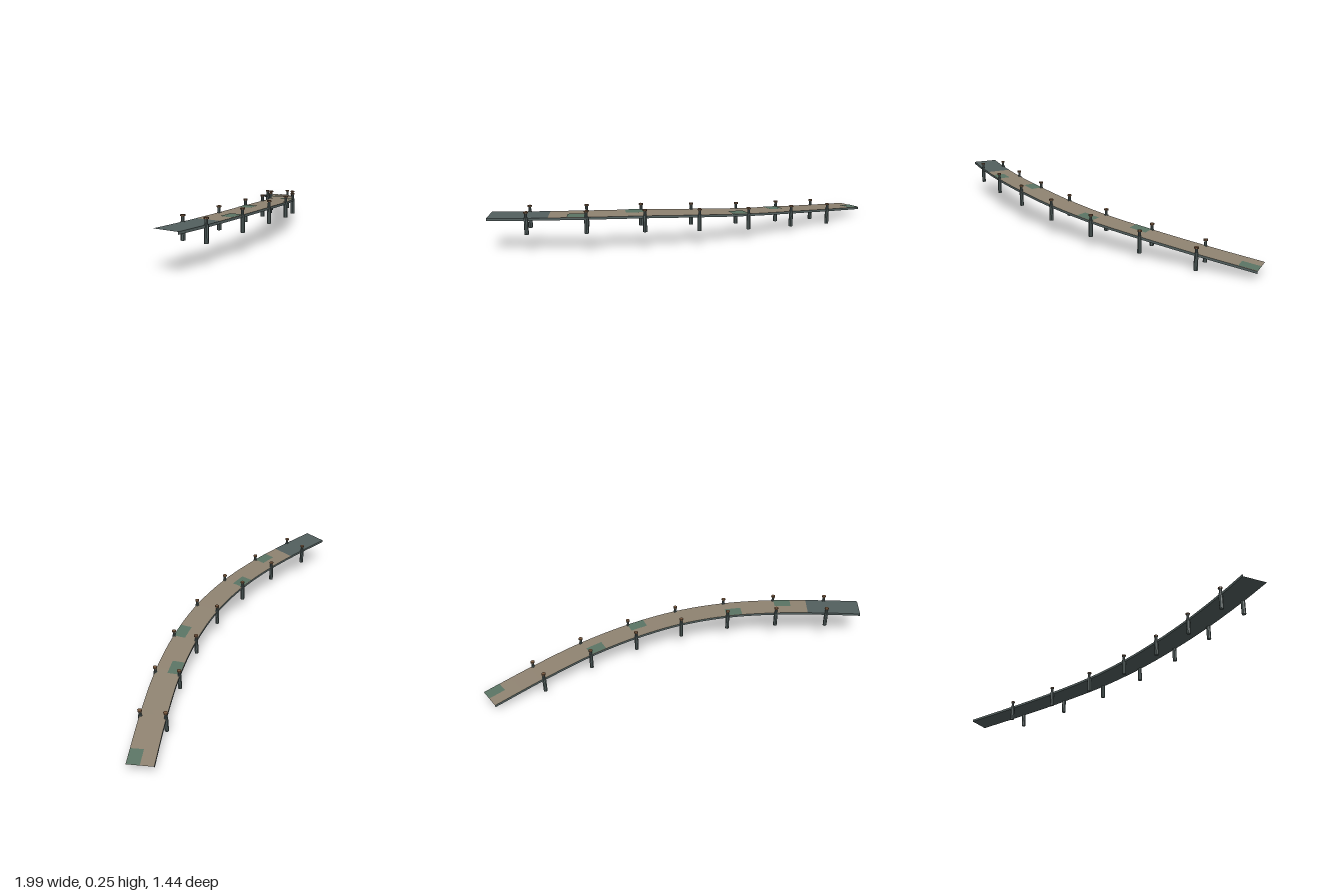
import * as THREE from 'three';

const material = (name, color) => {
  const m = new THREE.MeshStandardMaterial({ color });
  m.name = name;
  return m;
};

export function createModel() {
  const group = new THREE.Group();
  group.name = 'curvedWalkway';

  const slate = material('slate', 0x53605f);
  const sand = material('weathered sand', 0x8f8371);
  const green = material('mossy green', 0x5a7464);
  const rust = material('rusty brown', 0x7a5a40);

  // Centre line of the deck surface
  const path = new THREE.CatmullRomCurve3([
    [-0.98, 0.215, 0.645], [-0.774, 0.215, 0.593], [-0.468, 0.215, 0.5],
    [-0.178, 0.209, 0.383], [0.089, 0.191, 0.236], [0.33, 0.163, 0.051],
    [0.548, 0.132, -0.17], [0.747, 0.093, -0.418], [0.935, 0.052, -0.678],
  ].map((p) => new THREE.Vector3(...p)));
  path.arcLengthDivisions = 800;
  const HALF = 0.073;
  const THICK = 0.014;
  const spans = 8;

  // Point beside the path, to its right by `side` and up by `dy`
  const offset = (p, t, [side, dy]) => {
    const len = Math.hypot(t.x, t.z);
    return [p.x - (t.z / len) * side, p.y + dy, p.z + (t.x / len) * side];
  };

  // Strip that follows the path between two offset rails
  function strip(name, mat, u0, u1, a, b) {
    const steps = Math.max(4, Math.ceil((u1 - u0) * 64));
    const pos = [];
    const index = [];
    for (let i = 0; i <= steps; i++) {
      const u = u0 + ((u1 - u0) * i) / steps;
      const p = path.getPointAt(u);
      const t = path.getTangentAt(u);
      pos.push(...offset(p, t, a), ...offset(p, t, b));
      if (i < steps) {
        const k = i * 2;
        index.push(k, k + 1, k + 2, k + 1, k + 3, k + 2);
      }
    }
    const geo = new THREE.BufferGeometry();
    geo.setAttribute('position', new THREE.Float32BufferAttribute(pos, 3));
    geo.setIndex(index);
    geo.computeVertexNormals();
    const mesh = new THREE.Mesh(geo, mat);
    mesh.name = name;
    group.add(mesh);
  }

  // Deck surface, sides and underside
  const landingEnd = 0.136;
  strip('landingSurface', slate, 0, landingEnd, [-HALF, 0], [HALF, 0]);
  strip('deckSurface', sand, landingEnd, 1, [-HALF, 0], [HALF, 0]);
  strip('outerSide', slate, 0, 1, [HALF, 0], [HALF, -THICK]);
  strip('underside', slate, 0, 1, [HALF, -THICK], [-HALF, -THICK]);
  strip('innerSide', slate, 0, 1, [-HALF, -THICK], [-HALF, 0]);

  // Half-width patches, alternating between the two edges
  [[0.178, 0.22, 1], [0.311, 0.353, -1], [0.563, 0.605, 1],
    [0.69, 0.732, -1], [0.958, 1, 1]].forEach(([u0, u1, side]) => {
    const rails = side > 0 ? [0, HALF - 0.002] : [-HALF + 0.002, 0];
    strip('mossPatch', green, u0, u1, [rails[0], 0.002], [rails[1], 0.002]);
  });

  // Paired posts: thick pile below, thinner bollard above, cap on top
  const parts = [
    ['pile', slate, 0.012, -0.092, 0.001],
    ['bollard', slate, 0.008, 0, 0.03],
    ['postCap', rust, 0.0125, 0.028, 0.036],
  ].map(([name, mat, r, y0, y1]) => {
    const geo = new THREE.CylinderGeometry(r, r, y1 - y0, 8).toNonIndexed();
    geo.translate(0, (y0 + y1) / 2, 0);
    geo.computeVertexNormals();
    return { name, mat, geo };
  });
  for (let i = 1; i < spans; i++) {
    const p = path.getPoint(i / spans);
    const t = path.getTangent(i / spans);
    for (const side of [-1, 1]) {
      const post = new THREE.Group();
      post.name = side > 0 ? 'outerPost' : 'innerPost';
      post.position.set(...offset(p, t, [side * 0.07, 0]));
      post.rotation.y = Math.atan2(-t.z, t.x);
      for (const { name, mat, geo } of parts) {
        const mesh = new THREE.Mesh(geo, mat);
        mesh.name = name;
        post.add(mesh);
      }
      group.add(post);
    }
  }
  return group;
}
